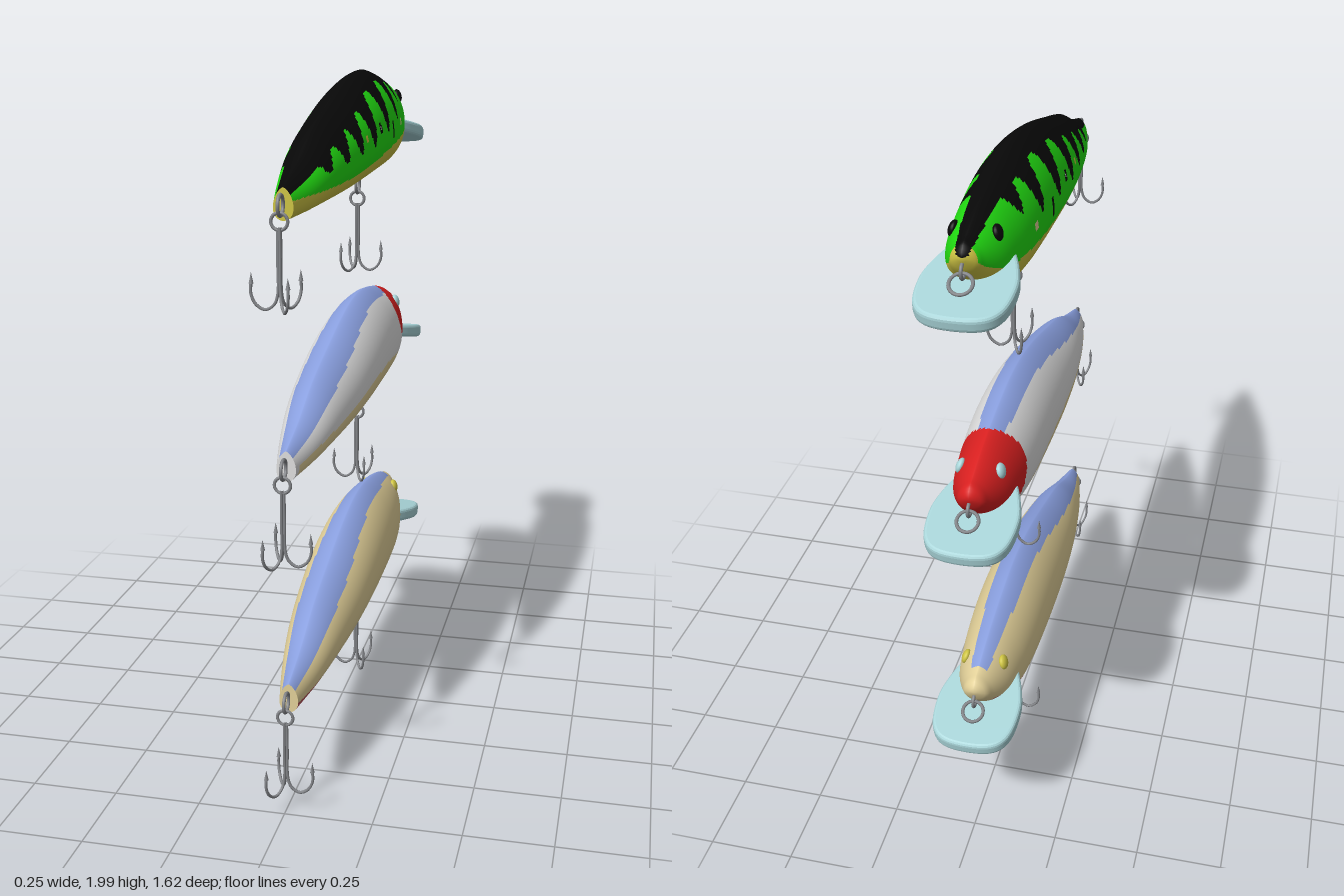
import * as THREE from 'three';

const mat = (name, color) => {
  const m = new THREE.MeshStandardMaterial({ color });
  m.name = name;
  return m;
};
const M = {
  black: mat('black', 0x080808), green: mat('bright green', 0x22e012), yellow: mat('yellow', 0xd0c644),
  blue: mat('back blue', 0x8aa0e0), white: mat('pale grey', 0xe0e0e0), tan: mat('tan', 0xe4d29a),
  red: mat('head red', 0xda2020), maroon: mat('belly red', 0xbe5a60),
  teal: mat('pale teal', 0xaad6da), steel: mat('steel', 0x85878b),
};
const NAMES = Object.keys(M), MATS = Object.values(M);

// Smooth curve through rows of [z, values...]
function track(rows) {
  const n = rows[0].length - 1;
  const c = new THREE.CubicInterpolant(rows.map(r => r[0]), rows.flatMap(r => r.slice(1)), n, new Array(n));
  return z => [...c.evaluate(z)];
}

// Body stations: z, top, bottom, half width
const section = track([
  [-0.722, 1.9, 1.875, 0.012], [-0.71, 1.914, 1.85, 0.03], [-0.68, 1.925, 1.815, 0.046], [-0.6, 1.95, 1.75, 0.078],
  [-0.5, 1.971, 1.705, 0.097], [-0.4, 1.987, 1.69, 0.107], [-0.28, 1.999, 1.684, 0.113], [-0.15, 1.995, 1.68, 0.115],
  [0, 1.97, 1.675, 0.113], [0.2, 1.917, 1.669, 0.102], [0.4, 1.857, 1.665, 0.081], [0.56, 1.787, 1.662, 0.055],
  [0.69, 1.745, 1.66, 0.027],
]);
const midOf = (top, bot) => bot + (top - bot) * 0.38;

// Point on the egg-shaped section, angle measured from the top towards +x
function skin(z, a) {
  const [top, bot, w] = section(z), mid = midOf(top, bot), c = Math.cos(a), s = Math.sin(a);
  const x = w * Math.sign(s) * Math.pow(Math.abs(s), c > 0 ? 1.4 : 1);
  return [x, mid + c * (c > 0 ? top - mid : mid - bot), z];
}
function skinX(z, y) {
  const [top, bot] = section(z), mid = midOf(top, bot);
  return skin(z, Math.acos((y - mid) / (top - mid)))[0];
}

// Paint lines along the body
const backDepth = track([[-0.72, 0.012], [-0.6, 0.018], [-0.4, 0.028], [-0.2, 0.033], [0, 0.038], [0.2, 0.044], [0.4, 0.042], [0.55, 0.028], [0.69, 0.02]]);
const yellowLine = track([[-0.72, 1.885], [-0.68, 1.85], [-0.6, 1.815], [-0.4, 1.79], [-0.2, 1.77], [0, 1.75], [0.2, 1.73], [0.69, 1.71]]);
const tanLine = track([[-0.72, 1.72], [-0.5, 1.755], [-0.4, 1.77], [-0.2, 1.79], [0, 1.785], [0.2, 1.765], [0.69, 1.7]]);
const maroonLine = track([[-0.72, 1.83], [-0.57, 1.795], [-0.5, 1.77], [-0.4, 1.75], [-0.2, 1.735], [0, 1.72], [0.2, 1.705], [0.69, 1.69]]);
// Bars: z, half thickness, depth below the back band
const BARS = [[-0.445, 0.03, 0.06], [-0.315, 0.036, 0.115], [-0.14, 0.042, 0.135], [0.045, 0.042, 0.125],
  [0.19, 0.038, 0.09], [0.32, 0.036, 0.07], [0.45, 0.034, 0.04]];
// Flank spots: z, y, half length, half height, colour
const SPOTS = [[-0.385, 1.836, 0.014, 0.014, 'tan'], [-0.22, 1.822, 0.012, 0.026, 'black'], [-0.04, 1.836, 0.005, 0.006, 'white'],
  [-0.04, 1.836, 0.013, 0.014, 'black'], [0.125, 1.82, 0.01, 0.01, 'yellow']];

const PAINT = [
  (y, z, top) => {
    let d = backDepth(z)[0];
    for (const [b, h, depth] of BARS) d += depth * Math.exp(-Math.pow(Math.abs(z - b) / h, 2.6));
    if (y > top - d) return 'black';
    for (const [sz, sy, l, h, c] of SPOTS) if (Math.abs(z - sz) < l && Math.abs(y - sy) < h) return c;
    return y < yellowLine(z)[0] || z < -0.705 ? 'yellow' : 'green';
  },
  (y, z, top) => {
    if (z < -0.455 - 6 * (y - 1.885) ** 2) return 'red';
    if (y > top - backDepth(z)[0]) return 'blue';
    return y < tanLine(z)[0] && z < 0.67 ? 'tan' : 'white';
  },
  (y, z, top) => {
    if (z > -0.66 && y > top - backDepth(z)[0]) return 'blue';
    return y < maroonLine(z)[0] && z > -0.66 ? 'maroon' : 'tan';
  },
];

// Lofted body; each face goes into the group of its paint
function bodyGeometry(paint) {
  const ROWS = 156, N = 108, pos = [], buckets = NAMES.map(() => []), zs = [];
  for (let i = 0; i <= ROWS; i++) zs.push(-0.722 + 1.412 * Math.pow(i / ROWS, 1.1));
  zs.push(0.69); // second ring keeps the tail edge sharp
  for (const z of zs) for (let j = 0; j < N; j++) pos.push(...skin(Math.min(z, 0.69), j / N * 2 * Math.PI));
  const last = zs.length - 1, nose = pos.length / 3, tail = nose + 1;
  pos.push(0, 1.887, -0.725, 0, 1.695, 0.69);
  const add = (z, a, ...tri) => {
    const y = skin(z, a)[1];
    buckets[NAMES.indexOf(paint(y, z, section(z)[0]))].push(...tri);
  };
  for (let j = 0; j < N; j++) {
    const k = (j + 1) % N, a = (j + 0.5) / N * 2 * Math.PI;
    for (let i = 0; i < last - 1; i++) {
      const p = i * N + j, q = i * N + k;
      add((zs[i] + zs[i + 1]) / 2, a, p, p + N, q, q, p + N, q + N);
    }
    add(-0.721, a, nose, j, k);
    add(0.69, Math.PI / 2, tail, last * N + k, last * N + j);
  }
  const g = new THREE.BufferGeometry();
  g.setAttribute('position', new THREE.Float32BufferAttribute(pos, 3));
  g.setIndex(buckets.flat());
  let start = 0;
  buckets.forEach((b, m) => {
    if (b.length) g.addGroup(start, b.length, m);
    start += b.length;
  });
  g.computeVertexNormals();
  return g;
}

// Diving lip: rounded plate sloping down ahead of the nose
function lipGeometry() {
  const half = [[0.065, -0.19], [0.1, -0.1], [0.116, -0.02], [0.104, 0.075], [0.055, 0.118]];
  const pts = [...half, ...half.map(([x, y]) => [-x, y]).reverse()].map(p => new THREE.Vector2(...p));
  const shape = new THREE.Shape().moveTo(pts[0].x, pts[0].y).splineThru(pts.slice(1));
  const g = new THREE.ExtrudeGeometry(shape, { depth: 0.018, bevelThickness: 0.012, bevelSize: 0.01, bevelSegments: 3, curveSegments: 40 });
  return g.translate(0, 0, -0.009).rotateX(-Math.PI / 2).rotateX(-0.2).translate(0, 1.78, -0.69);
}

function mesh(parent, name, geo, material, x = 0, y = 0, z = 0) {
  const m = new THREE.Mesh(geo, material);
  m.name = name;
  m.position.set(x, y, z);
  parent.add(m);
  return m;
}
const ringGeo = (r, tube = 0.005) => new THREE.TorusGeometry(r, tube, 6, 24);

// One prong: shank, bend and upturned point
const prongCurve = new THREE.CatmullRomCurve3([
  [0.004, -0.015], [0.005, -0.1], [0.006, -0.185], [0.016, -0.212], [0.04, -0.226], [0.065, -0.212], [0.077, -0.185], [0.076, -0.155],
].map(([x, y]) => new THREE.Vector3(x, y, 0)));
const prongGeo = new THREE.TubeGeometry(prongCurve, 36, 0.0042, 6);
const pointGeo = new THREE.ConeGeometry(0.0065, 0.03, 6);

function trebleHook(y, z, turn) {
  const hook = new THREE.Group();
  hook.name = 'trebleHook';
  hook.position.set(0, y, z);
  mesh(hook, 'hookEye', ringGeo(0.022, 0.0045), M.steel);
  for (let i = 0; i < 3; i++) {
    const prong = new THREE.Group();
    prong.name = 'prong';
    prong.rotation.y = turn + i * 2 * Math.PI / 3;
    mesh(prong, 'hookWire', prongGeo, M.steel);
    mesh(prong, 'hookPoint', pointGeo, M.steel, 0.076, -0.145, 0);
    hook.add(prong);
  }
  return hook;
}

function lure(paint, eyeMaterial, tailTurn, bellyTurn) {
  const g = new THREE.Group();
  mesh(g, 'body', bodyGeometry(paint), MATS);
  mesh(g, 'divingLip', lipGeometry(), M.teal);
  for (const s of [-1, 1]) {
    const eye = mesh(g, 'eye', new THREE.SphereGeometry(0.022, 20, 14), eyeMaterial, s * skinX(-0.595, 1.903), 1.903, -0.595);
    eye.scale.x = 0.55;
    eye.rotation.z = s * 0.3;
  }
  // Line tie
  mesh(g, 'noseLoop', ringGeo(0.02), M.steel, 0, 1.85, -0.715).rotation.y = Math.PI / 2;
  mesh(g, 'noseRing', ringGeo(0.03), M.steel, 0, 1.825, -0.737).rotation.x = Math.PI / 2 - 0.6;
  // Belly and tail hangers with their hooks
  for (const [y, z, hy, turn] of [[1.65, -0.22, 1.607, bellyTurn], [1.703, 0.718, 1.664, tailTurn]]) {
    mesh(g, 'splitRing', ringGeo(0.027), M.steel, 0, y, z).rotation.y = Math.PI / 2;
    g.add(trebleHook(hy, z + (z > 0 ? 0.012 : 0.005), turn));
  }
  return g;
}

export function createModel() {
  const model = new THREE.Group();
  model.name = 'fishingLures';
  const P = Math.PI;
  [['greenLure', M.black, P, 0, 0], ['redHeadLure', M.teal, 0, P, -0.695], ['tanLure', M.yellow, 0, P, -1.37]]
    .forEach(([name, eye, tailTurn, bellyTurn, dy], i) => {
      const l = lure(PAINT[i], eye, tailTurn, bellyTurn);
      l.name = name;
      l.position.y = dy;
      model.add(l);
    });
  return model;
}
